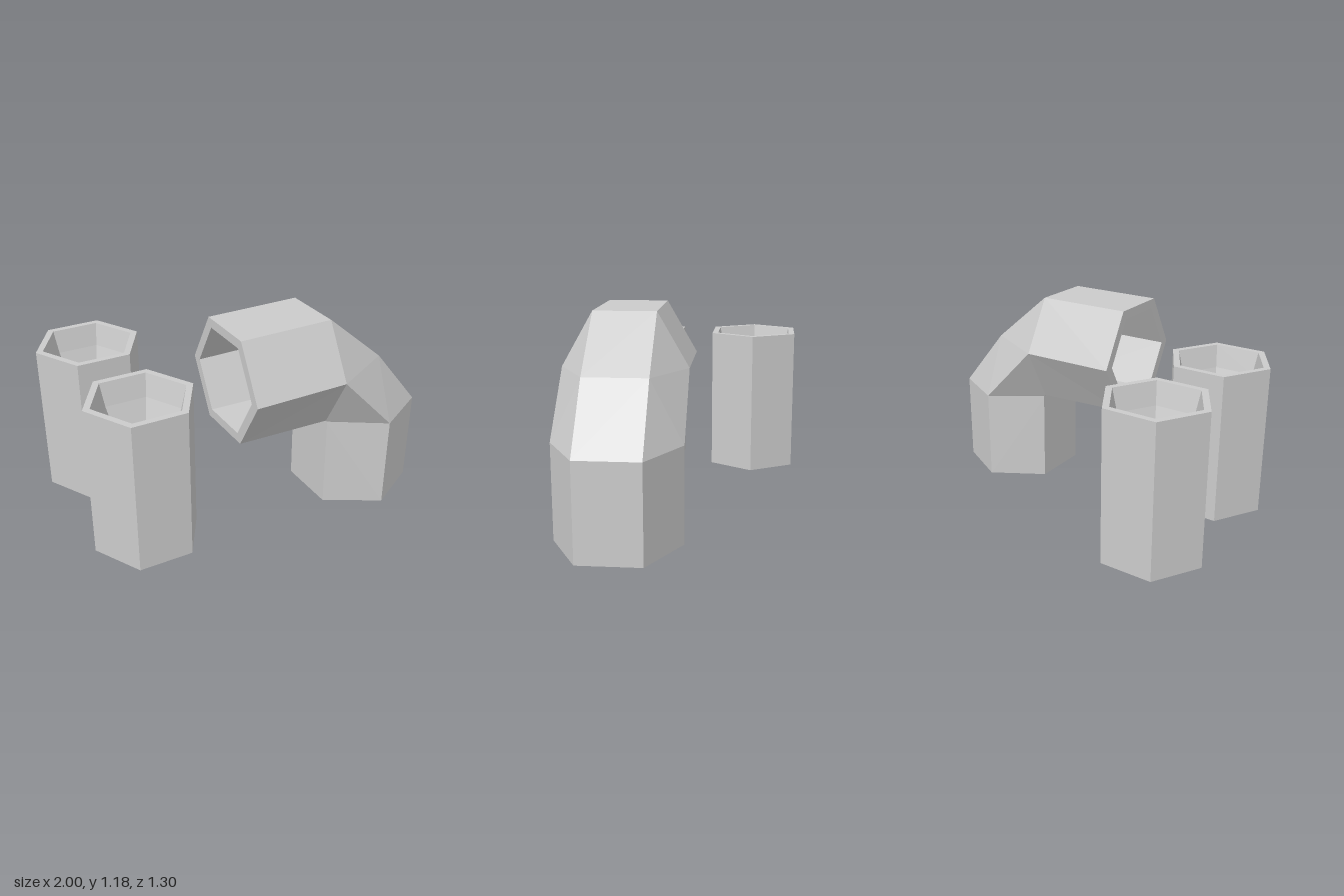
import * as THREE from 'three';

const material = new THREE.MeshStandardMaterial({
  color: 0xcccccc, flatShading: true, side: THREE.DoubleSide,
});

// Six-sided cup: thin outer wall open below, rim, funnel, ledge and pointed well
function makeCup(z) {
  const profile = [
    [0.302, 0.07], [0.302, 0.94], [0.262, 0.94], [0.23, 0.81],
    [0.135, 0.55], [0.108, 0.55], [0, 0.17],
  ].map(([r, y]) => new THREE.Vector2(r, y));
  const cup = new THREE.Mesh(new THREE.LatheGeometry(profile, 6), material);
  cup.position.set(-0.70, 0, z);
  cup.rotation.y = Math.PI / 2 - 0.018;
  return cup;
}

// Hexagonal ring through the outer, middle and inner points of a bend section
function hexRing([outer, mid, inner], scale) {
  const corners = [
    [outer, 0.175], [mid, 0.35], [inner, 0.175],
    [inner, -0.175], [mid, -0.35], [outer, -0.175],
  ];
  return corners.map(([p, z]) => [
    mid[0] + (p[0] - mid[0]) * scale,
    mid[1] + (p[1] - mid[1]) * scale,
    0.30 + z * scale,
  ]);
}

// Hollow elbow pipe: outer skin, end rim, inner skin and the other end rim
function makeElbow() {
  const sections = [
    [[-0.19, 1.185], [-0.19, 0.88], [-0.19, 0.577]],
    [[0.36, 1.185], [0.36, 0.88], [0.37, 0.56]],
    [[0.71, 0.89], [0.69, 0.54], [0.38, 0.55]],
    [[1, 0.54], [0.69, 0.54], [0.38, 0.54]],
    [[1, 0], [0.69, 0], [0.385, 0]],
  ];
  const rings = sections.map((s) => hexRing(s, 1));
  rings.push(...sections.map((s) => hexRing(s, 0.83)).reverse());

  const index = [];
  for (let i = 0; i < rings.length; i++) {
    const next = (i + 1) % rings.length;
    for (let j = 0; j < 6; j++) {
      const k = (j + 1) % 6;
      const a = i * 6 + j, b = i * 6 + k, c = next * 6 + k, d = next * 6 + j;
      // the diagonal is mirrored so both sides of the bend fold alike
      if (j < 3) index.push(a, b, d, b, c, d);
      else index.push(a, b, c, a, c, d);
    }
  }
  const geometry = new THREE.BufferGeometry();
  geometry.setAttribute('position', new THREE.Float32BufferAttribute(rings.flat(2), 3));
  geometry.setIndex(index);
  const flat = geometry.toNonIndexed();
  flat.computeVertexNormals();
  return new THREE.Mesh(flat, material);
}

export function createModel() {
  const model = new THREE.Group();
  model.name = 'pipeAndCups';

  const elbow = makeElbow();
  elbow.name = 'elbowPipe';
  model.add(elbow);

  for (const [name, z] of [['backCup', -0.39], ['frontCup', 0.34]]) {
    const cup = makeCup(z);
    cup.name = name;
    model.add(cup);
  }
  return model;
}
